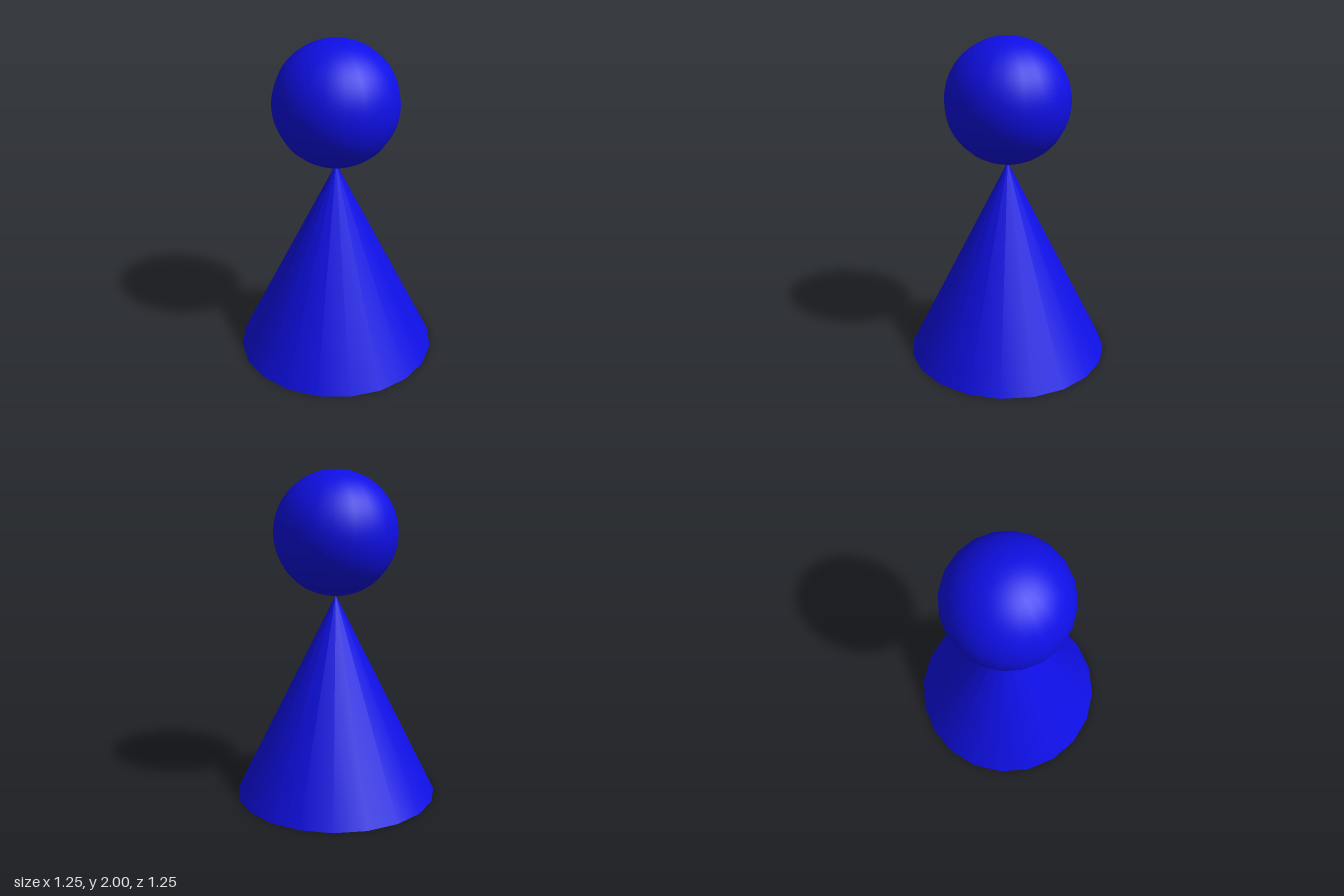
import * as THREE from 'three';

export function createModel() {
  const group = new THREE.Group();
  group.name = 'pawn';
  const blue = new THREE.MeshStandardMaterial({ color: 0x0f0fe6 });

  const add = (name, geometry, y) => {
    const mesh = new THREE.Mesh(geometry, blue);
    mesh.name = name;
    mesh.position.y = y;
    group.add(mesh);
  };

  // Conical body with a closed base
  add('body', new THREE.ConeGeometry(0.625, 1.25, 20, 1), 0.625);

  // Round head resting on the tip of the cone
  add('head', new THREE.SphereGeometry(0.375, 20, 50), 1.625);

  return group;
}
